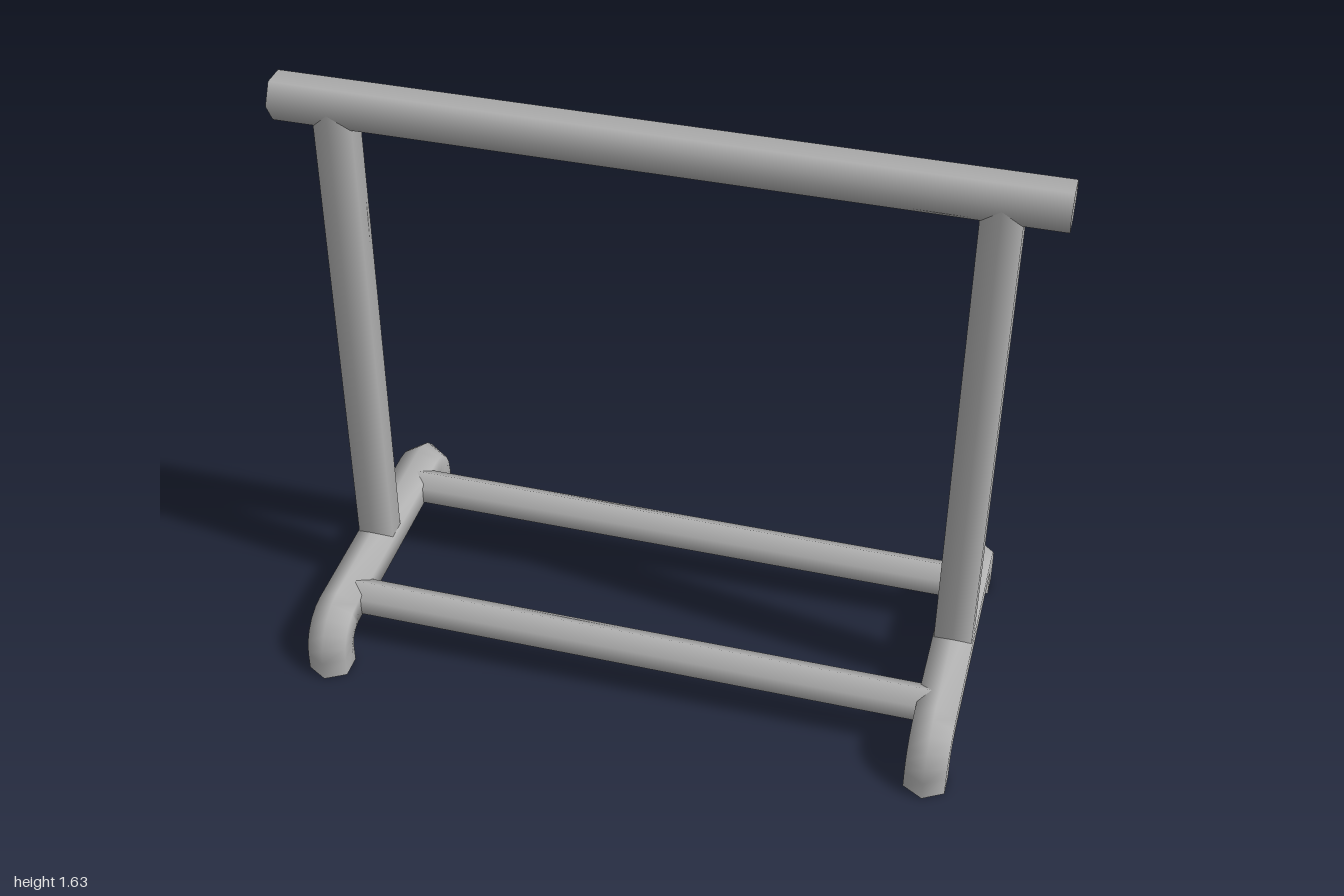
import * as THREE from 'three';

const SIDES = 6;

// Hexagonal base tube: two feet joined by rounded bends, swept in the y-z plane
function baseTubeGeometry(radius, footZ, railY, bend, steps) {
  const rings = [{ y: 0, z: footZ, a: 0 }];
  for (let i = 0; i <= steps; i++) {
    const a = (i / steps) * Math.PI / 2;
    rings.push({ y: railY - bend + bend * Math.sin(a), z: footZ - bend + bend * Math.cos(a), a });
  }
  for (let i = rings.length - 1; i >= 0; i--) {
    const r = rings[i];
    rings.push({ y: r.y, z: -r.z, a: Math.PI - r.a });
  }

  const positions = [];
  const index = [];
  const addRing = ({ y, z, a }) => {
    for (let k = 0; k < SIDES; k++) {
      const t = (k / SIDES) * Math.PI * 2;
      const out = radius * Math.cos(t);
      positions.push(radius * Math.sin(t), y + out * Math.sin(a), z + out * Math.cos(a));
    }
  };
  rings.forEach(addRing);
  for (let i = 0; i < rings.length - 1; i++) {
    for (let k = 0; k < SIDES; k++) {
      const a = i * SIDES + k;
      const b = i * SIDES + (k + 1) % SIDES;
      index.push(a, b, b + SIDES, a, b + SIDES, a + SIDES);
    }
  }
  // Flat soles with their own vertices
  [rings[0], rings[rings.length - 1]].forEach((ring, end) => {
    const s = positions.length / 3;
    addRing(ring);
    for (let k = 1; k < SIDES - 1; k++) {
      if (end === 0) index.push(s, s + k + 1, s + k);
      else index.push(s, s + k, s + k + 1);
    }
  });

  const geometry = new THREE.BufferGeometry();
  geometry.setAttribute('position', new THREE.Float32BufferAttribute(positions, 3));
  geometry.setIndex(index);
  geometry.computeVertexNormals();
  return geometry;
}

export function createModel() {
  const model = new THREE.Group();
  model.name = 'hangingRack';
  const metal = new THREE.MeshStandardMaterial({ color: 0xb2b2b2 });
  metal.name = 'grey metal';

  const add = (name, geometry, x, y, z) => {
    const mesh = new THREE.Mesh(geometry, metal);
    mesh.name = name;
    mesh.position.set(x, y, z);
    model.add(mesh);
  };

  const sideX = 0.84;
  const railY = 0.135;
  const topY = 1.575;

  // Top bar, ridges facing front and back
  add('topBar', new THREE.CylinderGeometry(0.063, 0.063, 2, SIDES).rotateZ(Math.PI / 2), 0, topY, 0);

  // Uprights and footed bases
  const post = new THREE.CylinderGeometry(0.06, 0.06, topY - railY, SIDES);
  const base = baseTubeGeometry(0.064, 0.4, railY, 0.08, 5);
  for (const [side, s] of [['left', 1], ['right', -1]]) {
    add(side + 'Post', post, s * sideX, (topY + railY) / 2, 0);
    add(side + 'Base', base, s * sideX, 0, 0);
  }

  // Lower cross rails, ridges facing up and down
  const rail = new THREE.CylinderGeometry(0.052, 0.052, sideX * 2, SIDES)
    .rotateY(Math.PI / 2).rotateZ(Math.PI / 2);
  add('frontRail', rail, 0, 0.134, 0.25);
  add('backRail', rail, 0, 0.134, -0.25);

  return model;
}
